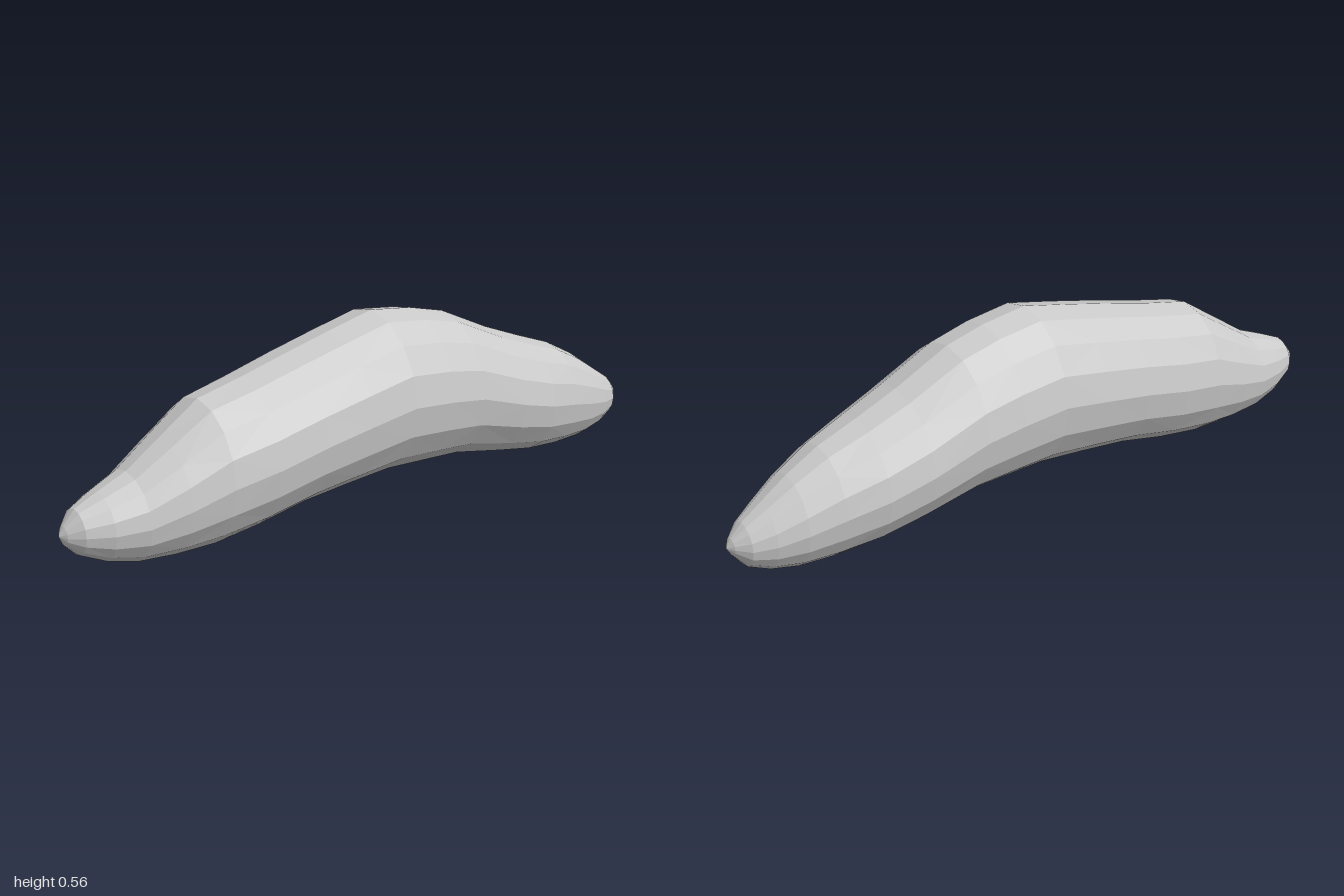
import * as THREE from 'three';

// Cross-sections from the front tip to the back tip: z, bottom y, top y, half width
const SECTIONS = [
  [0.985, 0.11, 0.165, 0.025],
  [0.95, 0.075, 0.205, 0.06],
  [0.88, 0.042, 0.236, 0.095],
  [0.79, 0.018, 0.272, 0.124],
  [0.68, 0.01, 0.345, 0.155],
  [0.56, 0.01, 0.425, 0.18],
  [0.42, 0.03, 0.455, 0.195],
  [0.27, 0.06, 0.492, 0.203],
  [0.12, 0.074, 0.527, 0.207],
  [-0.03, 0.085, 0.56, 0.209],
  [-0.17, 0.078, 0.54, 0.207],
  [-0.29, 0.072, 0.508, 0.203],
  [-0.46, 0.038, 0.425, 0.192],
  [-0.59, 0.013, 0.372, 0.175],
  [-0.71, 0.002, 0.326, 0.147],
  [-0.81, 0.003, 0.27, 0.12],
  [-0.89, 0.018, 0.214, 0.09],
  [-0.95, 0.043, 0.172, 0.06],
  [-0.985, 0.085, 0.135, 0.025],
];
const SIDES = 16;

// Closed loft through the oval sections, with a point at each end
function loftBody() {
  const positions = [];
  const index = [];
  for (const [z, bottom, top, halfWidth] of SECTIONS) {
    for (let j = 0; j < SIDES; j++) {
      const a = (j / SIDES) * Math.PI * 2;
      positions.push(
        halfWidth * Math.cos(a),
        (top + bottom) / 2 + ((top - bottom) / 2) * Math.sin(a),
        z
      );
    }
  }
  const frontTip = SECTIONS.length * SIDES;
  positions.push(0, 0.14, 1, 0, 0.11, -1);

  for (let i = 0; i < SECTIONS.length - 1; i++) {
    for (let j = 0; j < SIDES; j++) {
      const k = (j + 1) % SIDES;
      const a = i * SIDES + j, b = i * SIDES + k;
      const c = a + SIDES, d = b + SIDES;
      // alternate the diagonals for a faceted skin
      if ((i + j) % 2) index.push(a, c, b, b, c, d);
      else index.push(a, c, d, a, d, b);
    }
  }
  const last = (SECTIONS.length - 1) * SIDES;
  for (let j = 0; j < SIDES; j++) {
    const k = (j + 1) % SIDES;
    index.push(frontTip, j, k, frontTip + 1, last + k, last + j);
  }

  const geometry = new THREE.BufferGeometry();
  geometry.setAttribute('position', new THREE.Float32BufferAttribute(positions, 3));
  geometry.setIndex(index);
  geometry.computeVertexNormals();
  return geometry;
}

export function createModel() {
  const group = new THREE.Group();
  group.name = 'curvedPod';
  const material = new THREE.MeshStandardMaterial({ color: 0xcccccc, flatShading: true });
  const body = new THREE.Mesh(loftBody(), material);
  body.name = 'body';
  group.add(body);
  return group;
}
